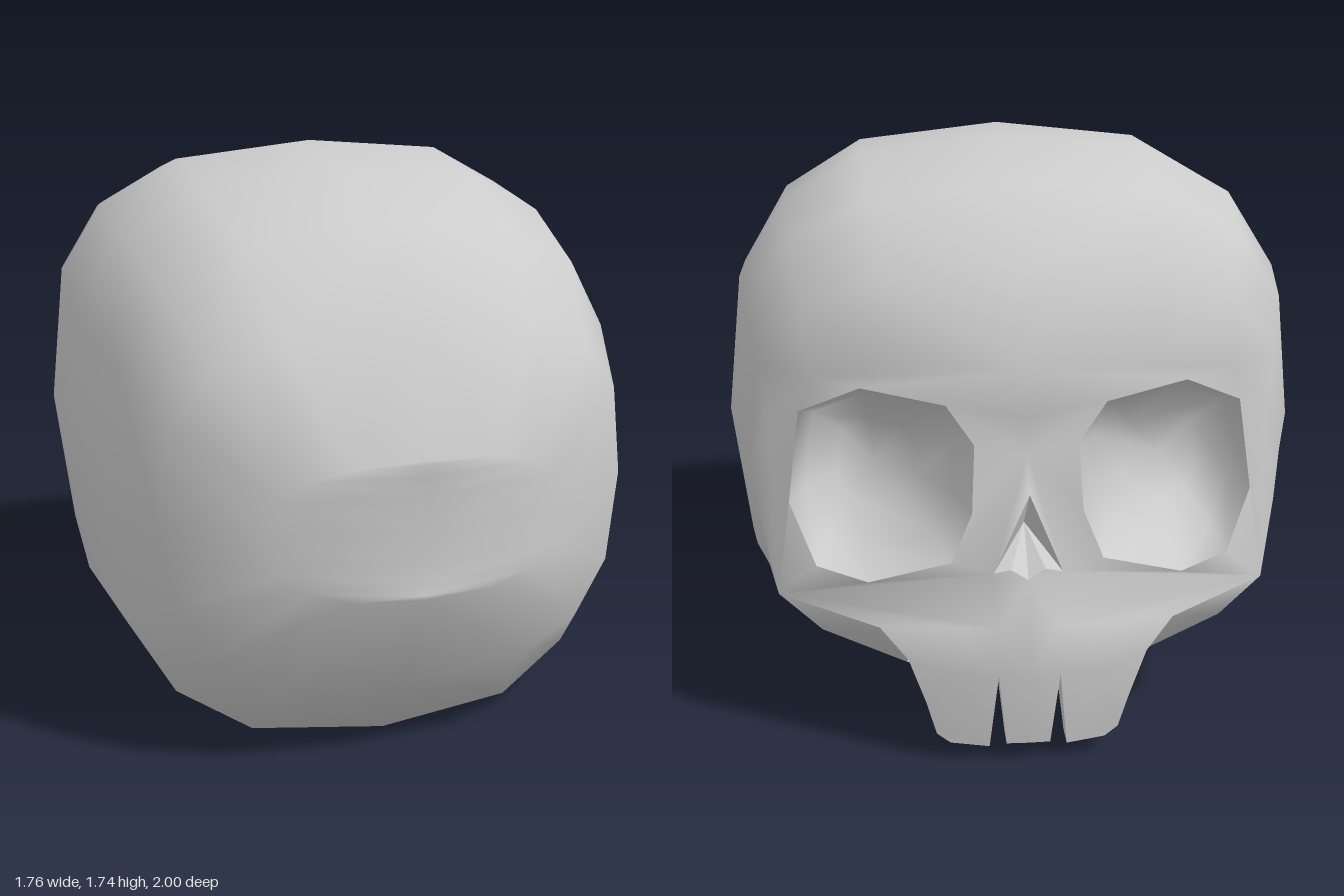
import * as THREE from 'three';
import { mergeVertices } from 'three/addons/utils/BufferGeometryUtils.js';

const bone = new THREE.MeshStandardMaterial({ color: 0xcccccc, side: THREE.DoubleSide });
bone.name = 'bone';

// Makes a mesh from triangles of the +x half, mirrored to the other half
function mirroredMesh(name, tris, smooth = true) {
  const pos = [];
  for (const [a, b, c] of tris) {
    pos.push(...a, ...b, ...c);
    for (const p of [a, c, b]) pos.push(-p[0], p[1], p[2]);
  }
  let geo = new THREE.BufferGeometry();
  geo.setAttribute('position', new THREE.Float32BufferAttribute(pos, 3));
  if (smooth) geo = mergeVertices(geo, 1e-4);
  geo.computeVertexNormals();
  const mesh = new THREE.Mesh(geo, bone);
  mesh.name = name;
  return mesh;
}

// Triangles between two rows of points
function strip(a, b, closed = false) {
  const out = [];
  const n = closed ? a.length : a.length - 1;
  for (let j = 0; j < n; j++) {
    const k = (j + 1) % a.length;
    out.push([a[j], a[k], b[j]], [a[k], b[k], b[j]]);
  }
  return out;
}

// Fills an outline with holes, facing -z
function fill(outline, holes = []) {
  const v2 = (l) => l.map((p) => new THREE.Vector2(p[0], p[1]));
  const pts = [outline, ...holes].flat();
  return THREE.ShapeUtils.triangulateShape(v2(outline), holes.map(v2)).map(([i, j, k]) => {
    const [a, b, c] = [pts[i], pts[j], pts[k]];
    const area = (b[0] - a[0]) * (c[1] - a[1]) - (b[1] - a[1]) * (c[0] - a[0]);
    return area > 0 ? [a, c, b] : [a, b, c];
  });
}

// Depth of the face: centre profile by height, curving back to the sides
const profile = [[0.05, -0.965], [0.28, -1.0], [0.45, -0.985], [0.6, -0.94], [0.8, -0.925],
  [0.95, -0.88], [1.05, -0.875], [1.16, -0.905], [1.25, -0.88]];
function onFace([x, y]) {
  let i = 0;
  while (i < profile.length - 2 && y > profile[i + 1][0]) i++;
  const [[y0, z0], [y1, z1]] = [profile[i], profile[i + 1]];
  return [x, y, z0 + ((z1 - z0) * (y - y0)) / (y1 - y0) + 0.4 * x * x];
}

// Half cross-section of the cranium, top to bottom
const STEPS = 8;
function ring([zTop, yTop, zBottom, yBottom, zSide, halfWidth]) {
  const pts = [];
  for (let j = 0; j <= STEPS; j++) {
    const t = (Math.PI * j) / STEPS;
    const s = j === STEPS ? 0 : Math.sin(t), c = Math.cos(t);
    const z = zTop + ((zBottom - zTop) * (1 - c)) / 2 + (zSide - (zTop + zBottom) / 2) * s * s;
    const cy = Math.sign(c) * Math.abs(c) ** 0.7;
    pts.push([halfWidth * s ** 0.7, (yTop + yBottom) / 2 + (cy * (yTop - yBottom)) / 2, z]);
  }
  return pts;
}

export function createModel() {
  const skull = new THREE.Group();
  skull.name = 'skull';

  // Cranium rings from the back ridge to the rim of the face
  const rings = [
    [1.0, 1.02, 1.0, 0.6, 1.0, 0],
    [1.0, 1.02, 1.0, 0.6, 0.93, 0.44],
    [0.86, 1.37, 0.87, 0.28, 0.73, 0.72],
    [0.56, 1.61, 0.62, 0.0, 0.43, 0.82],
    [0.18, 1.71, 0.28, 0.01, 0.03, 0.88],
    [-0.22, 1.74, -0.1, 0.07, -0.3, 0.875],
    [-0.58, 1.66, -0.5, 0.155, -0.5, 0.845],
    [-0.79, 1.47, -0.7, 0.2, -0.62, 0.8],
  ].map(ring);
  const faceRim = [[0, 1.2], [0.33, 1.22], [0.61, 1.15], [0.745, 0.96], [0.77, 0.7],
    [0.725, 0.48]].map(onFace);
  const cheek = faceRim[faceRim.length - 1];
  const underRim = [[0.6, 0.36, -0.77], [0.35, 0.25, -0.79], [0, 0.22, -0.8]];
  rings.push([...faceRim, ...underRim]);
  const shell = [];
  for (let i = 0; i < rings.length - 1; i++) shell.push(...strip(rings[i], rings[i + 1]));

  // Upper face with eye hole and nose notch
  const eye = [[0.15, 0.97], [0.23, 1.09], [0.47, 1.13], [0.65, 1.03], [0.685, 0.76],
    [0.61, 0.58], [0.46, 0.555], [0.22, 0.63], [0.16, 0.78]].map(onFace);
  const nose = [[0, 0.85, -0.96], ...[[0.1, 0.6], [0.05, 0.61], [0, 0.58]].map(onFace)];
  const lipRow = [[0.43, 0.43], [0.22, 0.45], [0.09, 0.45], [0, 0.45]].map(onFace);
  const gumRow = [[0.35, 0.34], [0.22, 0.3], [0.09, 0.3], [0, 0.29]].map(onFace);
  const face = fill([...faceRim, ...lipRow, ...[...nose].reverse(),
    onFace([0, 0.95]), onFace([0, 1.05])], [eye]);

  // Upper jaw and teeth
  const [gum, gumMid, gap, gumCentre] = gumRow;
  const teethEdge = [gum, ...[[0.3, 0.2], [0.27, 0.09], [0.23, 0.06], [0.115, 0.05]].map(onFace),
    gap, ...[[0.065, 0.06], [0, 0.06]].map(onFace)];
  face.push(...strip(gumRow, lipRow));
  face.push(...fill([...teethEdge.slice(0, 6), gumMid]));
  face.push(...fill([...teethEdge.slice(5), gumCentre]));

  // Underside of the cheek, set just behind the face so its edge stays sharp
  const behind = ([x, y, z]) => [x, y, z + 0.003];
  shell.push(...strip([cheek, ...underRim.slice(0, 2)], [cheek, behind(lipRow[0]), behind(gum)]));
  skull.add(mirroredMesh('craniumAndFace', [...shell, ...face]));

  // Eye sockets
  const sink = (scale, depth) => eye.map(([x, y, z]) =>
    [0.43 + (x - 0.43) * scale, 0.83 + (y - 0.83) * scale, z * scale - 0.8 * (1 - scale) + depth]);
  const steps = [eye, sink(0.82, 0.11), sink(0.45, 0.19), sink(0, 0.21)];
  skull.add(mirroredMesh('eyeSockets',
    steps.slice(1).flatMap((s, i) => strip(steps[i], s, true))));

  // Nose cavity
  const noseBack = [0, 0.7, -0.8];
  skull.add(mirroredMesh('noseCavity',
    nose.slice(1).map((p, i) => [nose[i], p, noseBack]), false));

  // Sides and back of the teeth
  const toBack = ([x, y, z]) => [x, y, z + Math.min(0.2, 0.08 + 0.8 * Math.max(0, y - 0.06))];
  const teethBack = teethEdge.map(toBack);
  skull.add(mirroredMesh('teethSides', strip(teethEdge, teethBack), false));
  const back = [
    ...fill([...teethBack.slice(0, 6), toBack(gumMid)]),
    ...fill([...teethBack.slice(5), toBack(gumCentre)]),
  ].map(([a, b, c]) => [a, c, b]);
  skull.add(mirroredMesh('teethBack', back, false));

  return skull;
}
